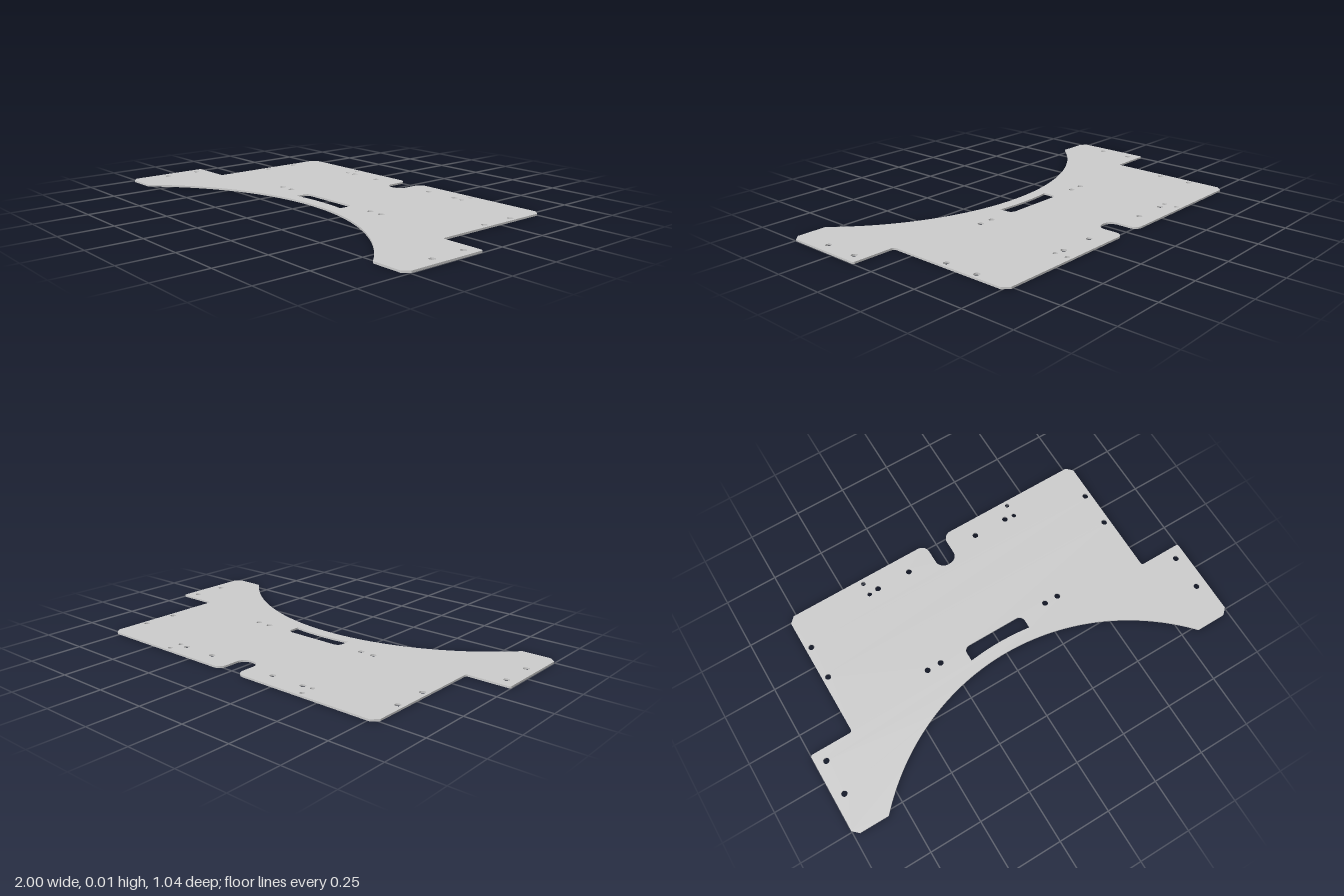
import * as THREE from 'three';
import { toCreasedNormals } from 'three/addons/utils/BufferGeometryUtils.js';

const THICKNESS = 0.009;
const HALF_DEPTH = 0.522;
const PI = Math.PI;

// Plate outline in plan, counterclockwise, with shape y pointing to the back
function plateOutline() {
  const s = new THREE.Shape();
  // concave front edge
  const cx = 0.83, apex = -0.15;
  const sag = HALF_DEPTH + apex;
  const R = (cx * cx + sag * sag) / (2 * sag);
  const a = Math.atan2(R - sag, cx);
  s.absarc(0, apex - R, R, PI - a, a, true);
  // left wing and left side
  s.lineTo(0.972, -HALF_DEPTH);
  s.lineTo(1, -0.495);
  s.lineTo(1, -0.117);
  s.lineTo(0.993, -0.11);
  s.lineTo(0.803, -0.11);
  s.quadraticCurveTo(0.79, -0.11, 0.79, -0.097);
  s.lineTo(0.79, 0.494);
  s.lineTo(0.762, HALF_DEPTH);
  // rounded notch in the back edge
  s.absarc(0.09, HALF_DEPTH - 0.04, 0.04, PI / 2, PI, false);
  s.absarc(0.005, 0.42, 0.045, 0, -PI / 2, true);
  s.absarc(-0.005, 0.42, 0.045, -PI / 2, -PI, true);
  s.absarc(-0.09, HALF_DEPTH - 0.04, 0.04, 0, PI / 2, false);
  // right side and right wing
  s.lineTo(-0.762, HALF_DEPTH);
  s.lineTo(-0.79, 0.494);
  s.lineTo(-0.79, -0.097);
  s.quadraticCurveTo(-0.79, -0.11, -0.803, -0.11);
  s.lineTo(-0.993, -0.11);
  s.lineTo(-1, -0.117);
  s.lineTo(-1, -0.495);
  s.lineTo(-0.972, -HALF_DEPTH);
  s.closePath();
  return s;
}

// Hand slot with rounded back corners and a curved front edge
function handSlot() {
  const p = new THREE.Path();
  const w = 0.158, r = 0.028, R = 1.176;
  const a = Math.asin(w / R);
  p.absarc(0, -0.09 - R, R, PI / 2 + a, PI / 2 - a, true);
  p.absarc(w - r, -0.03 - r, r, 0, PI / 2, false);
  p.absarc(-w + r, -0.03 - r, r, PI / 2, PI, false);
  p.closePath();
  return p;
}

function roundHole(x, y, r) {
  const p = new THREE.Path();
  p.absarc(x, y, r, 0, 2 * PI, true);
  return p;
}

export function createModel() {
  const group = new THREE.Group();
  group.name = 'mountingPlate';

  const shape = plateOutline();
  shape.holes.push(handSlot());

  // screw holes [x, z, radius], mirrored to both sides
  const holes = [
    [0.403, -0.498, 0.011], [0.403, -0.435, 0.011],
    [0.355, -0.44, 0.014], [0.186, -0.44, 0.014],
    [0.762, -0.342, 0.014], [0.762, -0.174, 0.014],
    [0.355, 0.035, 0.014], [0.286, 0.035, 0.014],
    [0.95, 0.167, 0.014], [0.95, 0.337, 0.014],
  ];
  for (const [x, z, r] of holes)
    for (const side of [-1, 1]) shape.holes.push(roundHole(side * x, -z, r));

  // extrude upward and lay flat on the ground
  const geometry = new THREE.ExtrudeGeometry(shape, {
    depth: THICKNESS, bevelEnabled: false, curveSegments: 32,
  });
  geometry.rotateX(-PI / 2);

  const plate = new THREE.Mesh(
    toCreasedNormals(geometry, PI / 6),
    new THREE.MeshStandardMaterial({ color: 0xcccccc }),
  );
  plate.name = 'plate';
  group.add(plate);
  return group;
}
